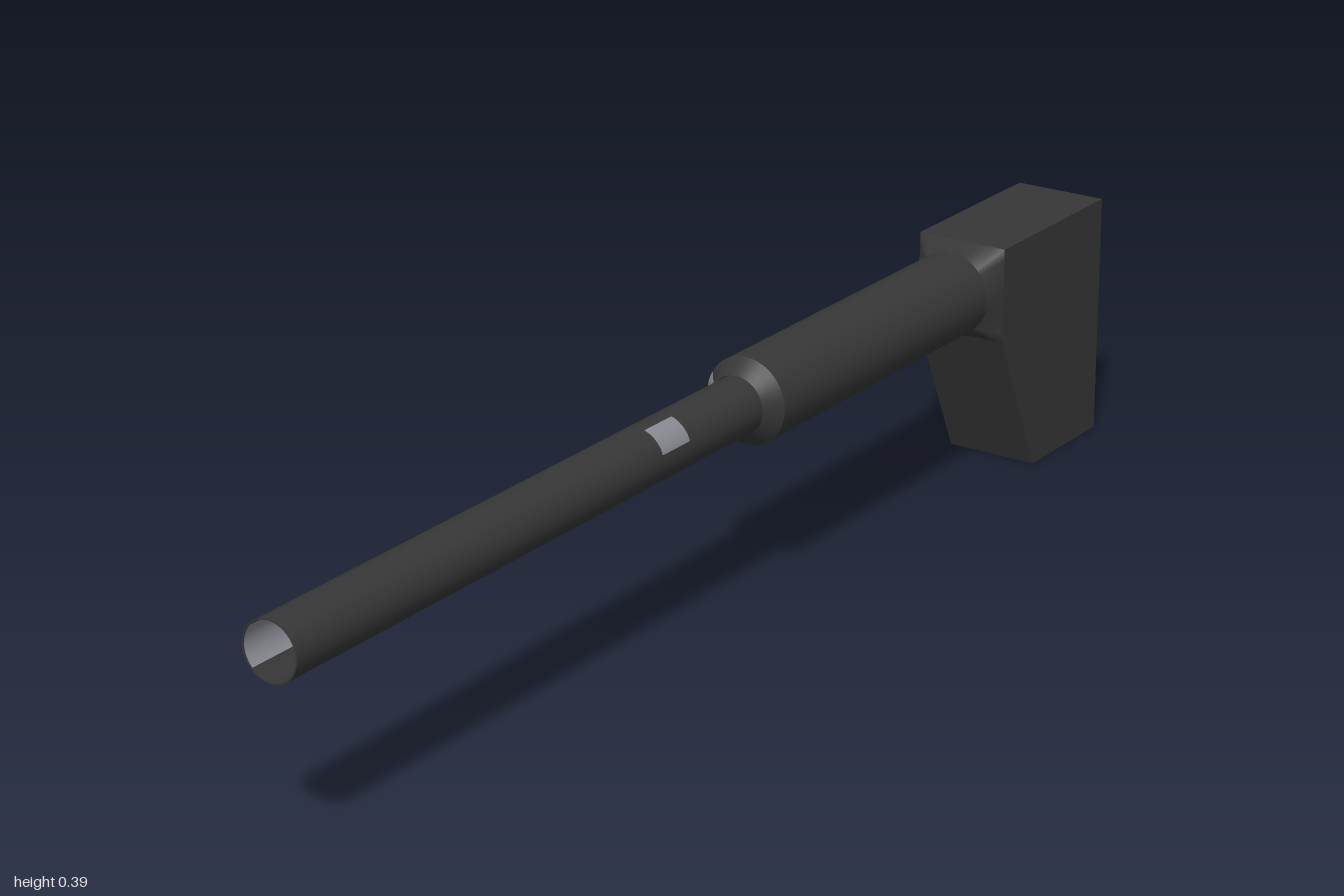
import * as THREE from 'three';

const AXIS_Y = 0.317; // height of the tube axis
const rad = THREE.MathUtils.degToRad;

export function createModel() {
  const root = new THREE.Group();
  root.name = 'model';

  const dark = new THREE.MeshStandardMaterial({ color: 0x373737 });
  dark.name = 'charcoal';
  const grey = new THREE.MeshStandardMaterial({ color: 0x8a8b92 });
  grey.name = 'worn grey';

  function add(name, geometry, material) {
    const mesh = new THREE.Mesh(geometry, material);
    mesh.name = name;
    root.add(mesh);
    return mesh;
  }

  // Turned part along z; profile is [radius, z] pairs, angles start at the underside
  function turned(profile, from = 0, sweep = 360, segments = 48) {
    const g = new THREE.LatheGeometry(
      profile.map(([r, z]) => new THREE.Vector2(r, z)), segments, rad(from), rad(sweep));
    g.rotateX(Math.PI / 2);
    return g;
  }

  // Dark turned part with a grey strip along its -x side
  function striped(name, profile, reshape = (g) => g) {
    add(name, reshape(turned(profile, 300, 300, 40)), dark).position.y = AXIS_Y;
    add(name + 'Strip', reshape(turned(profile, 240, 60, 8)), grey).position.y = AXIS_Y;
  }

  // Barrel, rim and hollow bore
  add('barrel', turned([[0.045, -0.06], [0.045, 1]]), dark).position.y = AXIS_Y;
  add('muzzleRim', turned([[0.045, 1], [0.043, 1]]), dark).position.y = AXIS_Y;
  add('bore', turned([[0.043, 1], [0.043, 0.8]]), dark).position.y = AXIS_Y;
  add('boreEnd', turned([[0.043, 0.8], [0.036, 0.78], [0.02, 0.765], [0, 0.76]]), dark).position.y = AXIS_Y;
  add('boreWear', turned([[0.0425, 0.999], [0.0425, 0.9]], 225, 90, 12), grey).position.y = AXIS_Y;

  // Small mark on the upper +x side of the barrel
  add('barrelMark', turned([[0.0457, 0.128], [0.0457, 0.195]], 107, 58, 10), grey).position.y = AXIS_Y;

  // Sleeve with a chamfered front
  striped('sleeve', [[0.068, -0.66], [0.068, -0.08]]);
  striped('sleeveChamfer', [[0.068, -0.08], [0.046, -0.055]]);

  // Collar: round at the sleeve, square at the stock
  striped('collar', [[0.077, -0.69], [0.068, -0.655]], (g) => {
    const p = g.attributes.position;
    for (let i = 0; i < p.count; i++) {
      if (p.getZ(i) > -0.68) continue;
      const x = p.getX(i), y = p.getY(i);
      const k = 0.077 / Math.max(Math.abs(x), Math.abs(y));
      p.setXY(i, x * k, y * k);
    }
    g.computeVertexNormals();
    return g;
  });

  // Stock block with a sloped front
  const side = new THREE.Shape([
    [-1, 0], [-0.8, 0], [-0.69, 0.24], [-0.69, 0.394], [-1, 0.394],
  ].map(([z, y]) => new THREE.Vector2(z, y)));
  const stock = new THREE.ExtrudeGeometry(side, { depth: 0.154, bevelEnabled: false });
  stock.rotateY(-Math.PI / 2);
  stock.translate(0.077, 0, 0);
  add('stock', stock, dark);

  // Grey band continuing along the -x side of the stock
  add('stockStrip', new THREE.BoxGeometry(0.002, 0.078, 0.31), grey)
    .position.set(-0.077, AXIS_Y, -0.845);

  return root;
}
